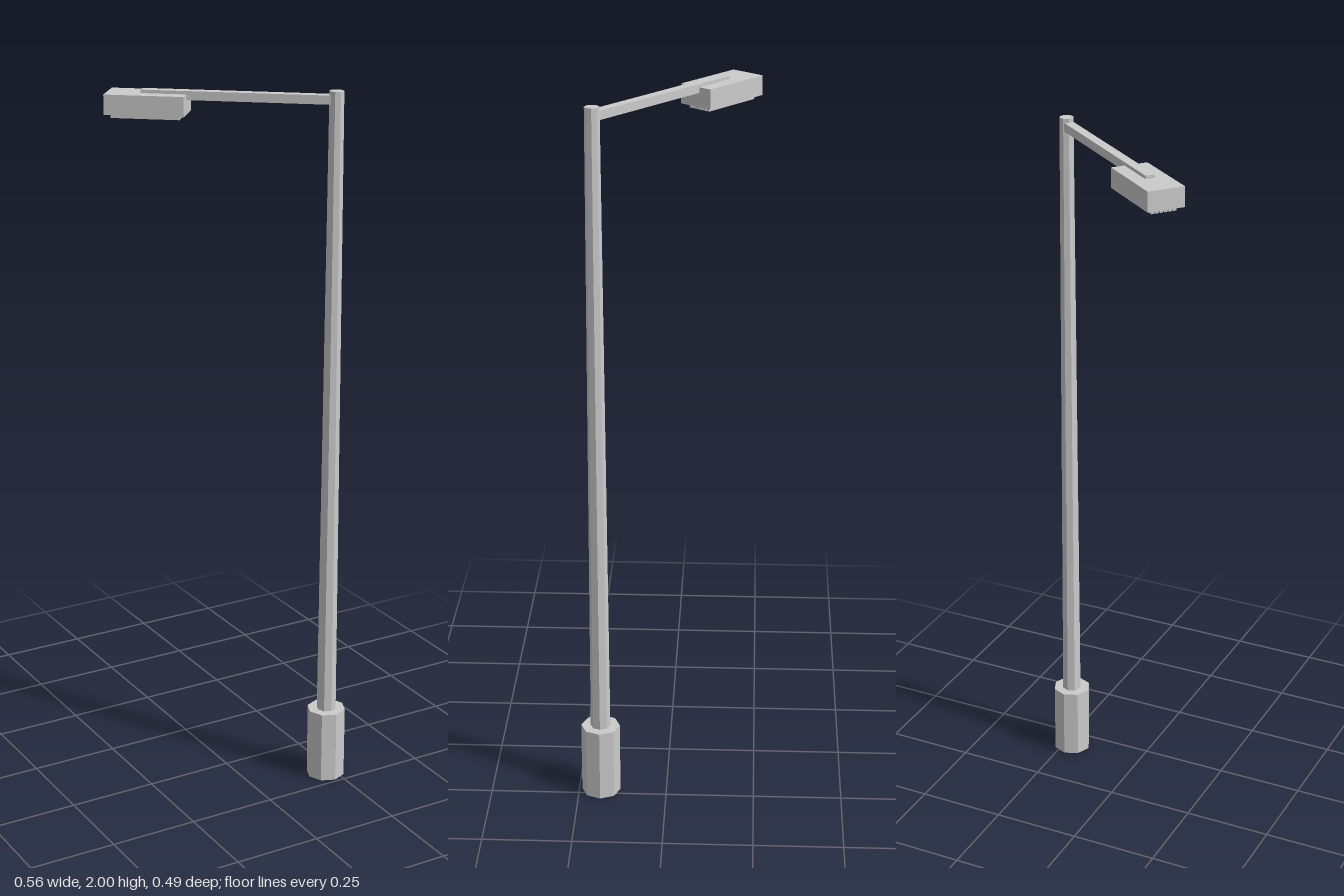
import * as THREE from 'three';

export function createModel() {
  const model = new THREE.Group();
  model.name = 'streetLight';
  const material = new THREE.MeshStandardMaterial({ color: 0xcccccc, flatShading: true });

  const add = (parent, name, geometry, x, y, z) => {
    const mesh = new THREE.Mesh(geometry, material);
    mesh.name = name;
    mesh.position.set(x, y, z);
    parent.add(mesh);
    return mesh;
  };

  // Everything hangs off the pole axis
  const post = new THREE.Group();
  post.name = 'post';
  post.position.set(0.225, 0, 0.187);
  model.add(post);

  // Octagonal base and tapered octagonal pole
  add(post, 'base', new THREE.CylinderGeometry(0.055, 0.055, 0.21, 8), 0, 0.105, 0);
  add(post, 'pole', new THREE.CylinderGeometry(0.02, 0.028, 1.8, 8), 0, 1.1, 0);

  // Arm and lamp point along local +x, swung towards the back right
  const head = new THREE.Group();
  head.name = 'head';
  head.rotation.y = Math.PI - 0.69;
  post.add(head);

  add(head, 'arm', new THREE.BoxGeometry(0.517, 0.024, 0.027), 0.2635, 1.977, 0);
  add(head, 'lampHousing', new THREE.BoxGeometry(0.216, 0.054, 0.103), 0.506, 1.953, 0);

  // Narrow louvres under the housing
  const louvres = 6;
  const panelWidth = 0.073;
  const pitch = panelWidth / louvres;
  for (let i = 0; i < louvres; i++) {
    const z = (i + 0.5) * pitch - panelWidth / 2;
    add(head, 'lampLouvre', new THREE.BoxGeometry(0.187, 0.014, pitch * 0.75), 0.506, 1.922, z);
  }

  return model;
}
